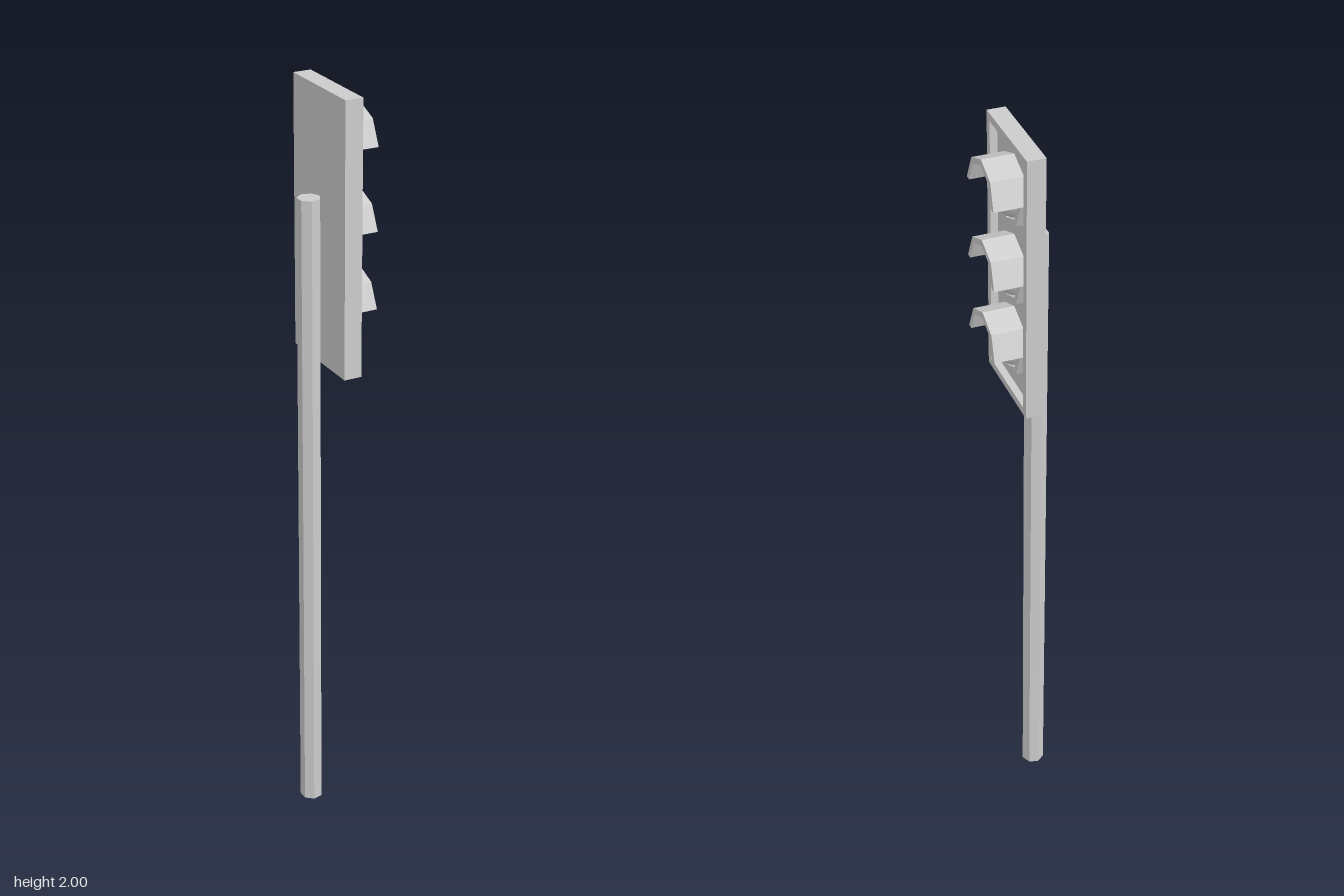
import * as THREE from 'three';

const material = new THREE.MeshStandardMaterial({ color: 0xcccccc, flatShading: true });
const smoothMaterial = new THREE.MeshStandardMaterial({ color: 0xcccccc });

const FACE = 0.017;   // front plane of the housing rim
const FLOOR = -0.002; // recessed plane behind the lamps
const BACK = -0.03;
const OUTER = 0.09, INNER = 0.074; // lamp ring and visor radii

// Extrudes a shape drawn in (z, y) along +x, from x0 to x1
function extrudeX(shape, x0, x1) {
  const g = new THREE.ExtrudeGeometry(shape, { depth: x1 - x0, bevelEnabled: false });
  return g.rotateY(Math.PI / 2).translate(x0, 0, 0);
}

function octagonPoints(radius, count) {
  return Array.from({ length: count }, (_, i) => {
    const a = i * Math.PI / 4;
    return new THREE.Vector2(radius * Math.cos(a), radius * Math.sin(a));
  });
}

function rectanglePoints(w, h) {
  return [[-w, -h], [w, -h], [w, h], [-w, h]].map(([x, y]) => new THREE.Vector2(x, y));
}

function part(name, geometry, mat = material) {
  const mesh = new THREE.Mesh(geometry, mat);
  mesh.name = name;
  return mesh;
}

function createLamp() {
  const lamp = new THREE.Group();

  // Octagonal collar standing on the recessed floor
  const collar = new THREE.Shape(octagonPoints(OUTER, 8));
  collar.holes.push(new THREE.Path(octagonPoints(INNER, 8).reverse()));
  lamp.add(part('lampCollar', extrudeX(collar, FLOOR, FACE)));

  // Upper half of the octagon carried forward as a hood, its crown slightly set back
  const hood = new THREE.Shape([...octagonPoints(OUTER, 5), ...octagonPoints(INNER, 5).reverse()]);
  const hoodGeometry = extrudeX(hood, FACE, 0.082);
  const p = hoodGeometry.attributes.position;
  for (let i = 0; i < p.count; i++) {
    if (p.getX(i) > 0.05) p.setX(i, p.getX(i) - 0.003 * p.getY(i) / OUTER);
  }
  lamp.add(part('visor', hoodGeometry));

  // Domed lens
  const lens = new THREE.SphereGeometry(0.069, 16, 6, 0, Math.PI * 2, 0, Math.PI / 2);
  lens.scale(1, 0.057 / 0.069, 1).rotateZ(-Math.PI / 2).translate(FLOOR, 0, 0);
  lamp.add(part('lens', lens, smoothMaterial));
  return lamp;
}

export function createModel() {
  const model = new THREE.Group();
  model.name = 'trafficLight';

  // Seven-sided post behind the housing
  const post = part('post', new THREE.CylinderGeometry(0.03, 0.03, 1.73, 7, 1, false, Math.PI / 2));
  post.position.set(-0.058, 0.865, 0);
  model.add(post);

  // Housing: back plate with a raised rim
  const housing = new THREE.Group();
  housing.name = 'housing';
  housing.position.y = 1.648;
  const outline = rectanglePoints(0.131, 0.352);
  housing.add(part('backPlate', extrudeX(new THREE.Shape(outline), BACK, FLOOR)));
  const rim = new THREE.Shape(outline);
  rim.holes.push(new THREE.Path(rectanglePoints(0.111, 0.332).reverse()));
  housing.add(part('rim', extrudeX(rim, FLOOR, FACE)));
  model.add(housing);

  // Three lamps facing +x
  [['topLamp', 1.86], ['middleLamp', 1.648], ['bottomLamp', 1.447]].forEach(([name, y]) => {
    const lamp = createLamp();
    lamp.name = name;
    lamp.position.y = y;
    model.add(lamp);
  });
  return model;
}
